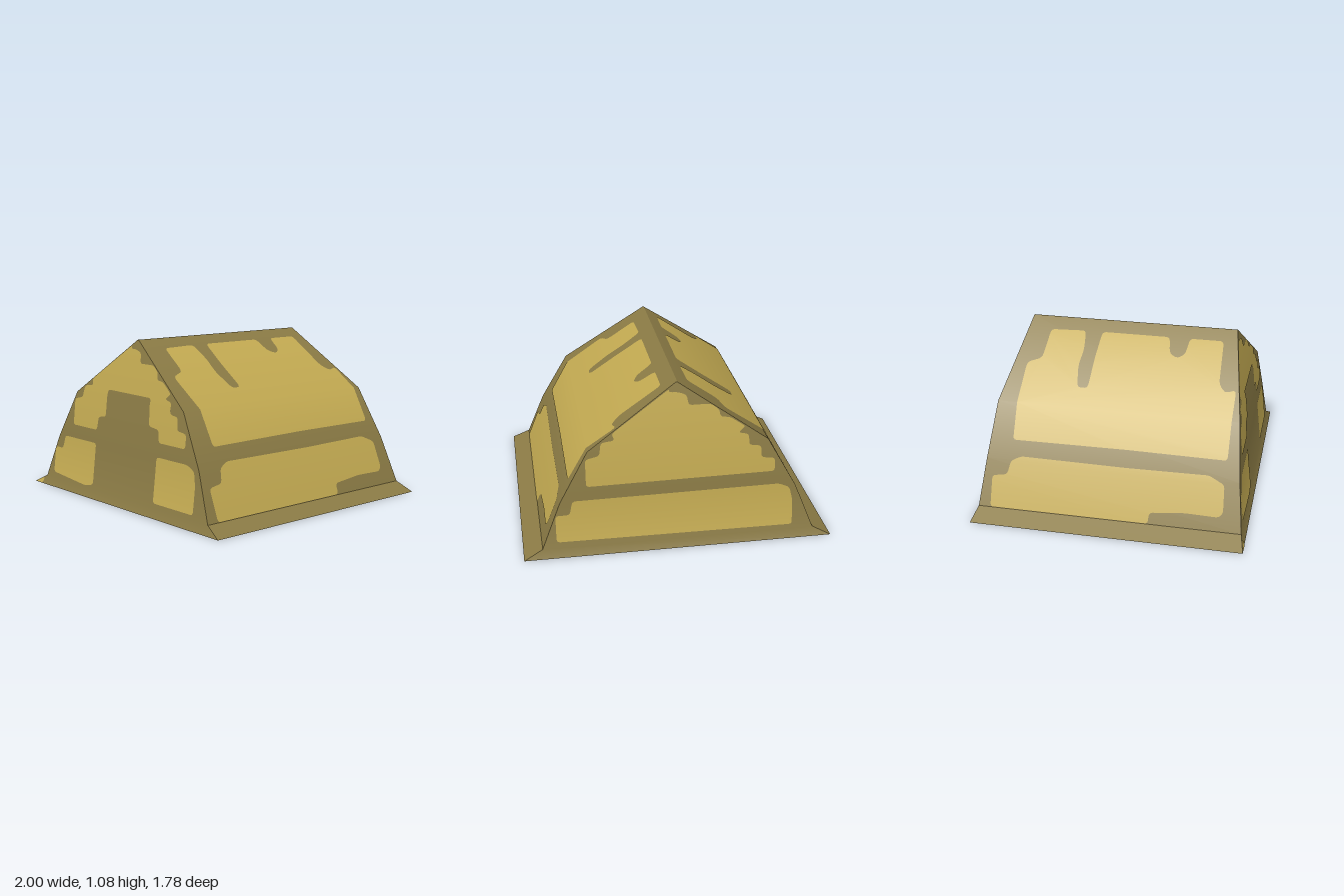
import * as THREE from 'three';

// Tent cross-section levels: height, half width (x) and half depth (z)
const Y = [0, 0.06, 0.36, 0.69, 1.08];
const WIDTH = [1, 0.88, 0.76, 0.575, 0.005];
const DEPTH = [0.89, 0.865, 0.83, 0.795, 0.7];

// Worn patches, outlined as [across, height] on each wall
const upperLeft = [[-0.05, 1.04], [-0.42, 0.79], [-0.4, 0.75], [-0.49, 0.74], [-0.5, 0.66], [-0.59, 0.64], [-0.59, 0.46]];
const upperRight = [[0.62, 0.47], [0.62, 0.56], [0.53, 0.57], [0.53, 0.65], [0.45, 0.66], [0.45, 0.73], [0.38, 0.745],
  [0.43, 0.78], [0.33, 0.845], [0.27, 0.85], [0.265, 0.895], [0.21, 0.935], [0.07, 0.935], [0.06, 1.0], [0, 1.02], [-0.05, 1.02]];
const doorway = [[-0.31, 0.46], [-0.3, 0.55], [-0.22, 0.56], [-0.22, 0.74], [0.24, 0.735], [0.25, 0.56], [0.35, 0.55], [0.36, 0.47]];
const lowerLeft = [[-0.79, 0.1], [-0.79, 0.28], [-0.7, 0.28], [-0.68, 0.37]];
const lowerRight = [[0.65, 0.38], [0.72, 0.35], [0.74, 0.26], [0.74, 0.09]];
const flareCorner = [[-0.99, 0.002], [-0.9, 0.045], [-0.9, 0.002]];

const frontPatches = [
  [...upperLeft, ...doorway, ...upperRight],
  [...lowerLeft, [-0.31, 0.37], [-0.31, 0.09], [-0.4, 0.07]],
  [[0.35, 0.09], [0.35, 0.38], ...lowerRight],
  flareCorner,
];
const backPatches = [[...upperLeft, ...upperRight], [...lowerLeft, ...lowerRight]];
const sidePatches = [
  [[-0.665, 0.475], [-0.665, 0.865], [-0.57, 0.89], [-0.555, 1.02], [-0.315, 1.025], [-0.3, 0.94], [-0.315, 0.87],
    [-0.29, 0.775], [-0.22, 0.775], [-0.215, 0.91], [-0.2, 1.025], [0.26, 1.025], [0.275, 0.955], [0.33, 0.935],
    [0.38, 0.955], [0.395, 1.025], [0.62, 1.025], [0.63, 0.84], [0.675, 0.805], [0.745, 0.82], [0.74, 0.475], [0.09, 0.48]],
  [[-0.785, 0.062], [-0.785, 0.255], [-0.685, 0.27], [-0.665, 0.355], [-0.6, 0.385], [0.09, 0.38], [0.635, 0.385],
    [0.735, 0.34], [0.74, 0.17], [0.71, 0.145], [0.5, 0.15], [0.27, 0.13], [0.265, 0.062]],
];

// Softens the corners of an outline
function rounded(points, radius = 0.022) {
  const out = [];
  points.forEach((p, i) => {
    const corner = new THREE.Vector2(...p);
    const near = [points.at(i - 1), points[(i + 1) % points.length]].map((q) => {
      const v = new THREE.Vector2(...q).sub(corner);
      return v.setLength(Math.min(radius, v.length() * 0.4)).add(corner);
    });
    new THREE.QuadraticBezierCurve(near[0], corner, near[1]).getPoints(3).forEach((v) => out.push([v.x, v.y]));
  });
  return out;
}

// Keeps the part of an outline above (sign 1) or below (sign -1) a height
function clip(points, height, sign) {
  const out = [];
  points.forEach((a, i) => {
    const b = points[(i + 1) % points.length];
    const da = (a[1] - height) * sign, db = (b[1] - height) * sign;
    if (da >= 0) out.push(a);
    if (da * db < 0) out.push([a[0] + (b[0] - a[0]) * da / (da - db), height]);
  });
  return out;
}

// Lays an outline on a wall whose distance from the centre changes per level
function wallGeometry(outline, reach, lift) {
  const angles = Y.slice(1).map((y, i) => Math.atan2(reach[i] - reach[i + 1], y - Y[i]));
  const joint = (band, other) => {
    const a = angles[band], b = angles[other] ?? a;
    return Math.abs(a - b) > 0.55 ? a : (a + b) / 2;
  };
  const position = [], normal = [], index = [];
  for (let band = 0; band < angles.length; band++) {
    const piece = clip(clip(outline, Y[band], 1), Y[band + 1], -1);
    if (piece.length < 3) continue;
    const contour = piece.map((p) => new THREE.Vector2(...p));
    if (THREE.ShapeUtils.area(contour) < 0) contour.reverse();
    const start = position.length / 3;
    for (const { x, y } of contour) {
      const t = (y - Y[band]) / (Y[band + 1] - Y[band]);
      const tilt = THREE.MathUtils.lerp(joint(band, band - 1), joint(band, band + 1), t);
      const z = THREE.MathUtils.lerp(reach[band], reach[band + 1], t);
      const ny = Math.sin(tilt), nz = Math.cos(tilt);
      position.push(x, y + ny * lift, z + nz * lift);
      normal.push(0, ny, nz);
    }
    for (const tri of THREE.ShapeUtils.triangulateShape(contour, [])) index.push(...tri.map((k) => k + start));
  }
  const geometry = new THREE.BufferGeometry();
  geometry.setAttribute('position', new THREE.Float32BufferAttribute(position, 3));
  geometry.setAttribute('normal', new THREE.Float32BufferAttribute(normal, 3));
  geometry.setIndex(index);
  return geometry;
}

export function createModel() {
  const canvas = new THREE.MeshStandardMaterial({ name: 'dark canvas', color: 0x8b7b45 });
  const straw = new THREE.MeshStandardMaterial({ name: 'golden straw', color: 0xc4ab52 });
  const model = new THREE.Group();
  model.name = 'tent';
  const add = (parent, name, geometry, material) => {
    const mesh = new THREE.Mesh(geometry, material);
    mesh.name = name;
    parent.add(mesh);
    return mesh;
  };

  // Four walls, each turned a quarter further around the tent
  const walls = [
    ['frontWall', frontPatches, DEPTH, WIDTH], ['rightWall', sidePatches, WIDTH, DEPTH],
    ['backWall', backPatches, DEPTH, WIDTH], ['leftWall', sidePatches, WIDTH, DEPTH],
  ];
  walls.forEach(([name, patches, reach, half], i) => {
    const wall = new THREE.Group();
    wall.name = name;
    wall.rotation.y = i * Math.PI / 2;
    const outline = [...Y.map((y, k) => [half[k], y]), ...Y.map((y, k) => [-half[k], y]).reverse()];
    add(wall, 'cloth', wallGeometry(outline, reach, 0), canvas);
    patches.forEach((p) => add(wall, 'patch', wallGeometry(rounded(p), reach, 0.003), straw));
    model.add(wall);
  });

  // Ridge strip and floor
  const ridge = add(model, 'ridge', new THREE.PlaneGeometry(0.01, 1.4), canvas);
  ridge.rotation.x = -Math.PI / 2;
  ridge.position.y = 1.08;
  const floor = add(model, 'floor', new THREE.PlaneGeometry(2, 1.78), canvas);
  floor.rotation.x = Math.PI / 2;
  return model;
}
